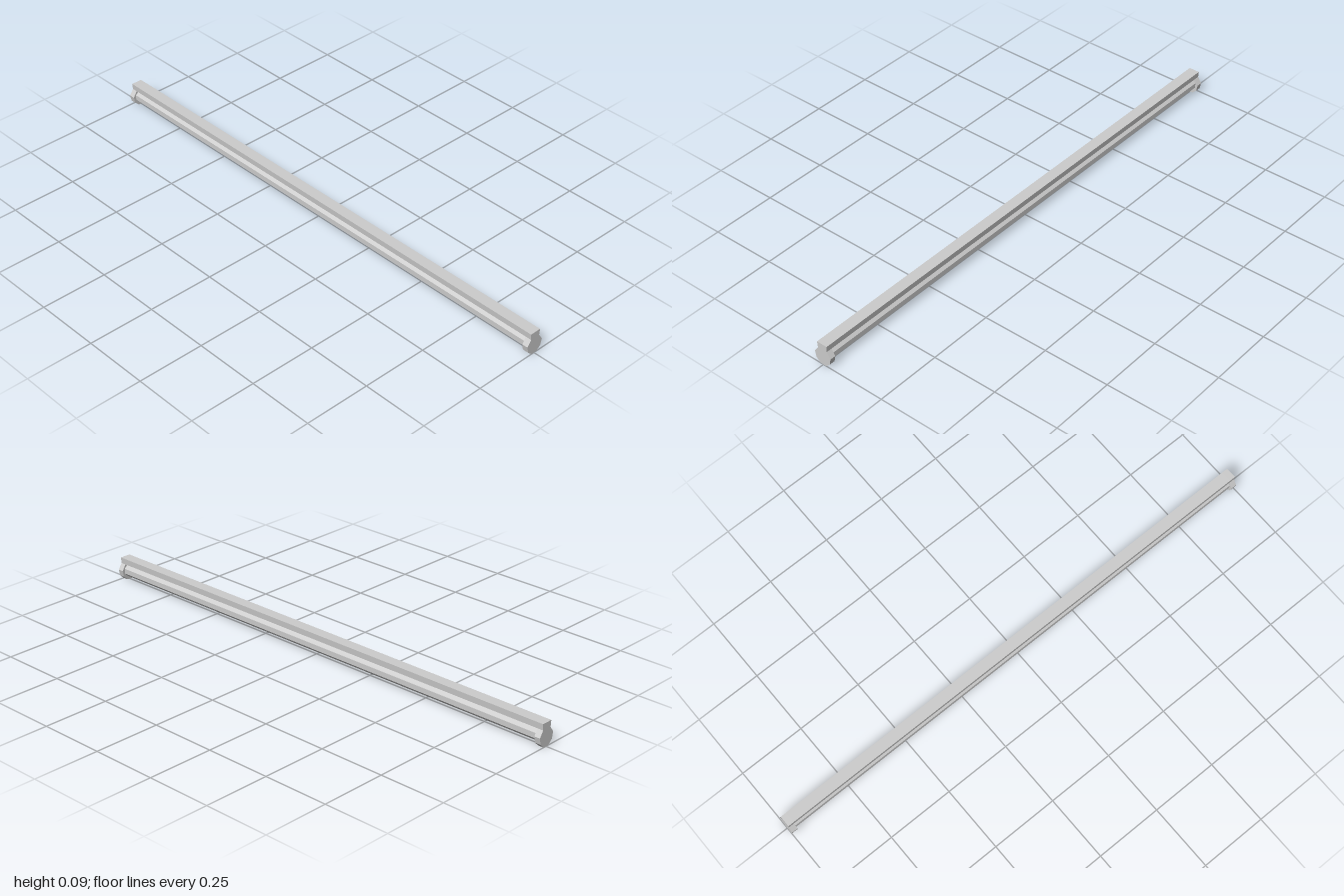
import * as THREE from 'three';

const HALF_LENGTH = 1;
const CAP_DEPTH = 0.022;
const INNER = HALF_LENGTH - CAP_DEPTH;

const material = new THREE.MeshStandardMaterial({ color: 0xcccccc, flatShading: true });

// Right half of a profile (top to bottom), mirrored in x and extruded along z
function extrudeMirrored(name, half, z0, z1) {
  const left = half.map(([x, y]) => new THREE.Vector2(-x, y));
  const right = half.map(([x, y]) => new THREE.Vector2(x, y)).reverse();
  const shape = new THREE.Shape([...left, ...right]);
  const geometry = new THREE.ExtrudeGeometry(shape, { depth: z1 - z0, bevelEnabled: false });
  geometry.translate(0, 0, z0);
  const mesh = new THREE.Mesh(geometry, material);
  mesh.name = name;
  return mesh;
}

export function createModel() {
  const group = new THREE.Group();
  group.name = 'tubeLight';

  // Slightly tapered mounting rail and the wider socket section below it
  const rail = [[0.021, 0.086], [0.019, 0.063]];
  const socket = [[0.034, 0.04], [0.029, 0.016], [0.012, 0]];

  group.add(extrudeMirrored('housing', rail, -INNER, INNER));
  group.add(extrudeMirrored('frontEndCap', [...rail, ...socket], INNER, HALF_LENGTH));
  group.add(extrudeMirrored('backEndCap', [...rail, ...socket], -HALF_LENGTH, -INNER));

  // Octagonal lamp tube with flat top and bottom, held between the caps
  const tubeGeometry = new THREE.CylinderGeometry(0.025, 0.025, 2 * INNER, 8, 1, true);
  tubeGeometry.rotateY(Math.PI / 8).rotateX(Math.PI / 2);
  const tube = new THREE.Mesh(tubeGeometry, material);
  tube.name = 'lampTube';
  tube.position.y = 0.037;
  group.add(tube);

  return group;
}
